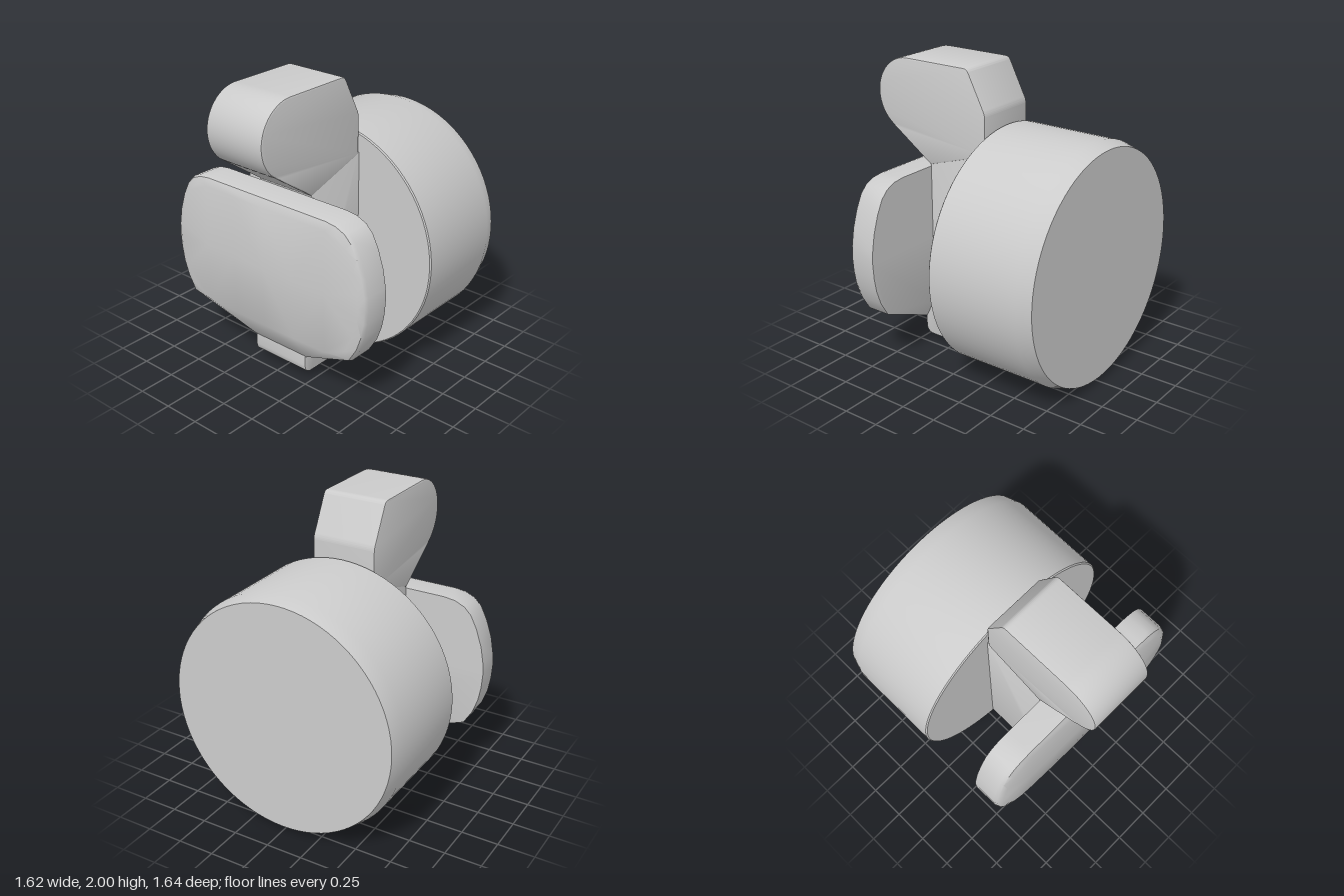
import * as THREE from 'three';
import { toCreasedNormals } from 'three/addons/utils/BufferGeometryUtils.js';
import { ConvexGeometry } from 'three/addons/geometries/ConvexGeometry.js';

const material = new THREE.MeshStandardMaterial({ color: 0xcccccc });

function addPart(group, name, geometry, crease = 0.6) {
  const mesh = new THREE.Mesh(toCreasedNormals(geometry, crease), material);
  mesh.name = name;
  group.add(mesh);
}

// Extrudes a side profile, drawn as (z, y), across x with a small rounded edge
function sideExtrude(shape, width, bevel) {
  const depth = width - 2 * bevel;
  const geometry = new THREE.ExtrudeGeometry(shape, {
    depth, curveSegments: 24, bevelEnabled: true, bevelSize: bevel,
    bevelThickness: bevel, bevelOffset: -bevel, bevelSegments: 2,
  });
  return geometry.translate(0, 0, -depth / 2).rotateY(-Math.PI / 2);
}

export function createModel() {
  const group = new THREE.Group();

  // Drum lying along z, with a chamfered back rim
  const drumProfile = [
    [0, 0.07], [0.802, 0.07], [0.81, 0.078], [0.81, 0.72], [0.78, 0.82], [0, 0.82],
  ].map(([r, y]) => new THREE.Vector2(r, y));
  const drum = new THREE.LatheGeometry(drumProfile, 80);
  drum.rotateX(-Math.PI / 2).translate(0, 0.81, 0);
  addPart(group, 'drum', drum);

  // Neck joining the drum to the pad, with a rounded toe
  const neck = new THREE.Shape();
  neck.moveTo(-0.1, 0.05);
  neck.lineTo(0.4, 0.05);
  neck.quadraticCurveTo(0.465, 0.05, 0.465, 0.115);
  neck.lineTo(0.465, 0.22);
  neck.lineTo(0.39, 0.36);
  neck.lineTo(0.39, 1.335);
  neck.lineTo(-0.06, 1.46);
  neck.lineTo(-0.1, 1.46);
  addPart(group, 'neck', sideExtrude(neck, 0.44, 0.004));

  // Lever above the neck, with a round nose
  const lever = new THREE.Shape();
  lever.moveTo(-0.06, 1.452);
  lever.lineTo(0.39, 1.31);
  lever.lineTo(0.70, 1.525);
  lever.absarc(0.57, 1.745, 0.255, -1.04, Math.PI / 2, false);
  lever.lineTo(0.11, 2);
  lever.quadraticCurveTo(0.08, 2, 0.065, 1.97);
  lever.lineTo(-0.045, 1.755);
  lever.quadraticCurveTo(-0.06, 1.73, -0.06, 1.70);
  addPart(group, 'lever', sideExtrude(lever, 0.45, 0.012));

  // Pad: hull of a back outline, a rim, a slightly bulged face and a chin
  const rim = [
    [0.5, 1.3], [0.58, 1.29], [0.65, 1.26], [0.7, 1.21], [0.745, 1.12], [0.785, 1.0],
    [0.806, 0.88], [0.81, 0.8], [0.803, 0.7], [0.785, 0.6], [0.75, 0.5], [0.69, 0.4],
  ];
  const face = [
    [0, 1.24], [0.25, 1.24], [0.5, 1.24], [0.59, 1.225], [0.66, 1.17], [0.72, 1.03],
    [0.755, 0.9], [0.765, 0.81], [0.755, 0.73], [0.72, 0.6], [0.66, 0.47], [0.59, 0.415],
    [0.5, 0.4], [0.25, 0.4], [0, 0.4], [0, 0.82], [0.25, 0.82], [0.5, 0.82],
  ];
  const points = [];
  for (const side of [-1, 1]) {
    const add = (x, y, z) => points.push(new THREE.Vector3(side * x, y, z));
    for (const [x, y] of rim) {
      add(x, y, 0.39);
      add(x, y, 0.555);
      add(x * 0.985, 0.81 + (y - 0.81) * 0.985, 0.58);
    }
    for (const [x, y] of face) add(x, y, 0.62 - 0.035 * x * x - 0.07 * (y - 0.82) ** 2);
    add(0.22, 0.32, 0.39);
    add(0.22, 0.18, 0.46);
  }
  addPart(group, 'pad', new ConvexGeometry(points), 0.75);

  return group;
}
